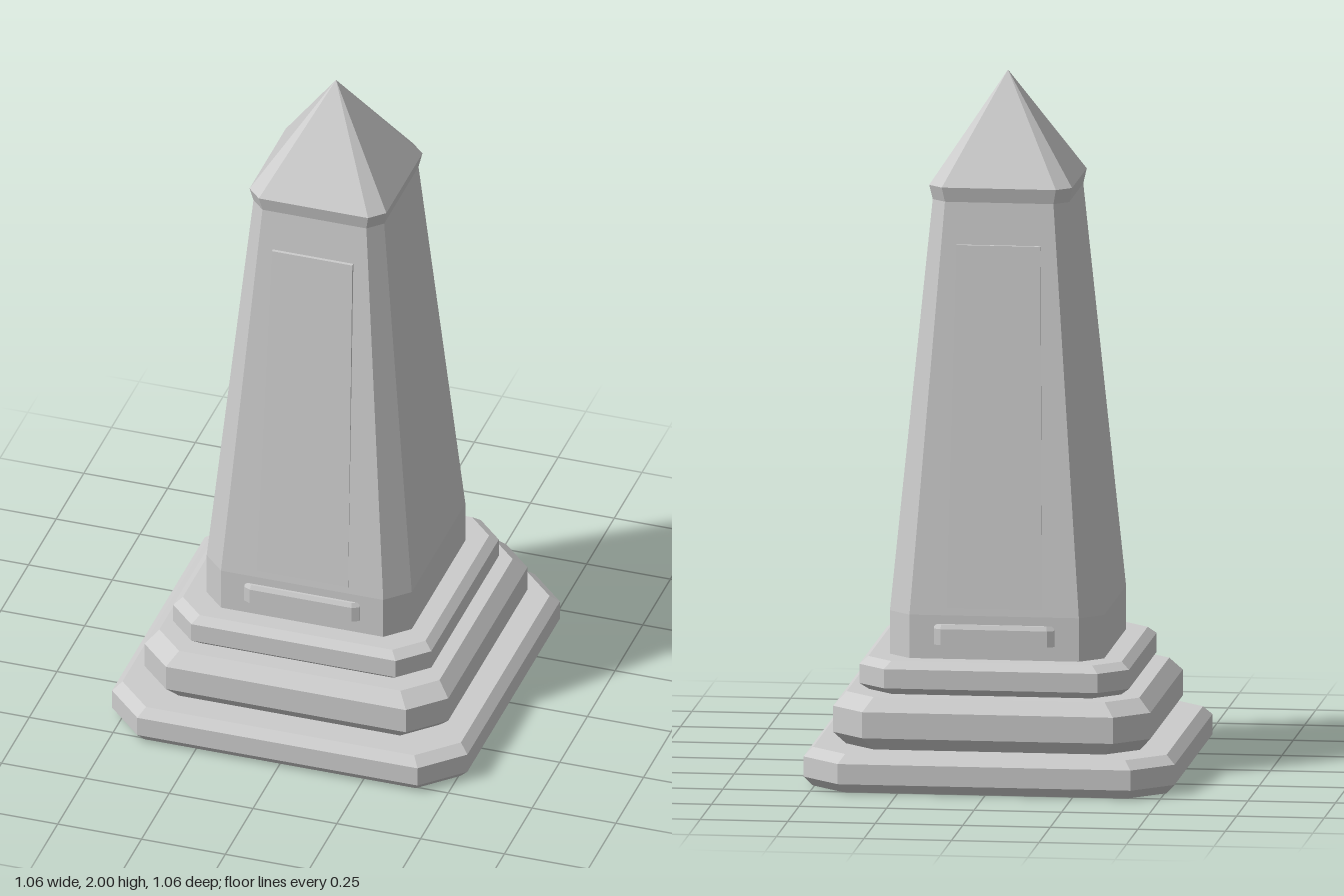
import * as THREE from 'three';

// Closed loft through horizontal rings: [{ y, pts: [[x, z], ...] }], counter-clockwise from above
function loft(rings) {
  const pos = [];
  const tri = (a, b, c) => pos.push(...a, ...b, ...c);
  const loops = rings.map(({ y, pts }) => pts.map(([x, z]) => [x, y, z]));
  const n = loops[0].length;
  for (let r = 0; r < loops.length - 1; r++) {
    const a = loops[r], b = loops[r + 1];
    for (let i = 0; i < n; i++) {
      const j = (i + 1) % n;
      tri(a[i], a[j], b[j]);
      tri(a[i], b[j], b[i]);
    }
  }
  const first = loops[0], last = loops[loops.length - 1];
  for (let i = 1; i < n - 1; i++) {
    tri(first[0], first[i + 1], first[i]);
    tri(last[0], last[i], last[i + 1]);
  }
  const g = new THREE.BufferGeometry();
  g.setAttribute('position', new THREE.Float32BufferAttribute(pos, 3));
  g.computeVertexNormals();
  return g;
}

// Square of half width h with cut corners; f is half the straight edge
const cutSquare = ([y, h, f]) => ({
  y,
  pts: [[-f, h], [f, h], [h, f], [h, -f], [f, -h], [-f, -h], [-h, -f], [-h, f]],
});

export function createModel() {
  const stone = new THREE.MeshStandardMaterial({ color: 0xcccccc });
  stone.name = 'stone';
  stone.flatShading = true;
  const model = new THREE.Group();
  model.name = 'obelisk';

  const add = (name, rings, turn = 0) => {
    const mesh = new THREE.Mesh(loft(rings), stone);
    mesh.name = name;
    mesh.rotation.y = turn;
    model.add(mesh);
  };

  // Stepped base: each tier has bevelled top and bottom edges
  add('lowerStep', [[0, 0.505, 0.405], [0.027, 0.53, 0.418], [0.085, 0.53, 0.418], [0.11, 0.505, 0.4]].map(cutSquare));
  add('middleStep', [[0.11, 0.42, 0.33], [0.147, 0.453, 0.358], [0.222, 0.453, 0.358], [0.26, 0.418, 0.33]].map(cutSquare));
  add('upperStep', [[0.26, 0.36, 0.285], [0.28, 0.385, 0.305], [0.335, 0.385, 0.305], [0.355, 0.362, 0.287]].map(cutSquare));

  // Tapering shaft with a flared rim
  add('shaft', [[0.355, 0.306, 0.242], [0.48, 0.306, 0.242], [1.65, 0.195, 0.155], [1.692, 0.204, 0.163]].map(cutSquare));

  // Pointed cap
  add('cap', [[1.692, 0.204, 0.163], [2, 0, 0]].map(cutSquare));

  // Sloping panel and small ledge, on front and back
  for (const [side, turn] of [['front', 0], ['back', Math.PI]]) {
    const panel = (y, w, z) => ({ y, pts: [[-w, z], [w, z], [w, 0.15], [-w, 0.15]] });
    add(side + 'Panel', [panel(0.5, 0.137, 0.305), panel(1.53, 0.12, 0.216)], turn);

    const ledge = (y, w, z) => ({
      y,
      pts: [[0.02 - w, z], [w - 0.02, z], [w, z - 0.01], [w, 0.28], [-w, 0.28], [-w, z - 0.01]],
    });
    add(side + 'Ledge', [ledge(0.396, 0.172, 0.319), ledge(0.442, 0.172, 0.319), ledge(0.455, 0.17, 0.313)], turn);
  }
  return model;
}
